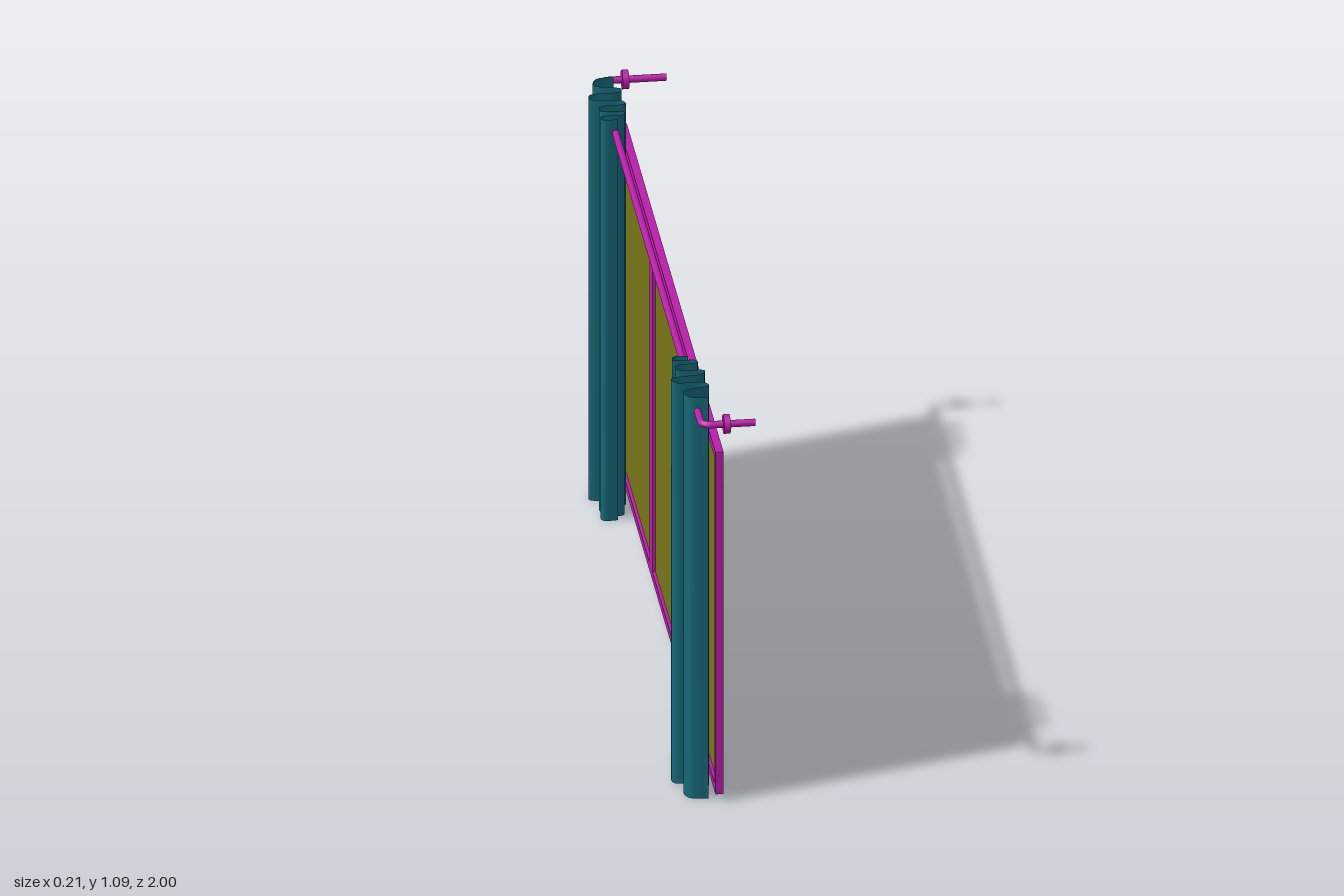
import * as THREE from 'three';

const frameMat = new THREE.MeshStandardMaterial({ color: 0xb820a8 });
const paneMat = new THREE.MeshStandardMaterial({ color: 0x777718 });
const clothMat = new THREE.MeshStandardMaterial({ color: 0x176878, side: THREE.DoubleSide });

const MID = -0.01; // window centre along z

function box(name, mat, [x0, x1], [y0, y1], [z0, z1]) {
  const mesh = new THREE.Mesh(new THREE.BoxGeometry(x1 - x0, y1 - y0, z1 - z0), mat);
  mesh.position.set((x0 + x1) / 2, (y0 + y1) / 2, (z0 + z1) / 2);
  mesh.name = name;
  return mesh;
}

// Window frame with two mullions and three recessed panes
function createWindow() {
  const g = new THREE.Group();
  g.name = 'window';
  const depth = [-0.015, 0.005], bottom = 0.02, top = 0.95, half = 0.93, edge = 0.022;
  const zMin = MID - half, zMax = MID + half;
  g.add(box('bottomRail', frameMat, depth, [bottom, bottom + edge], [zMin, zMax]));
  g.add(box('topRail', frameMat, depth, [top - edge, top], [zMin, zMax]));
  const inner = [bottom + edge, top - edge];
  g.add(box('stile', frameMat, depth, inner, [zMin, zMin + edge]));
  g.add(box('stile', frameMat, depth, inner, [zMax - edge, zMax]));
  for (const z of [-0.31, 0.31]) {
    g.add(box('mullion', frameMat, depth, inner, [MID + z - 0.025, MID + z + 0.025]));
  }
  const spans = [[zMin + edge, MID - 0.335], [MID - 0.285, MID + 0.285], [MID + 0.335, zMax - edge]];
  for (const span of spans) g.add(box('pane', paneMat, [-0.007, -0.003], inner, span));
  return g;
}

// Open pleated sheet: a folded line in plan, drawn straight up
function createCurtain(side) {
  // [x, distance from window centre], outer edge to inner edge
  const plan = [
    [-0.03, 0.91], [-0.075, 0.9], [-0.085, 0.865], [-0.02, 0.84], [-0.03, 0.822],
    [-0.1, 0.815], [-0.105, 0.79], [-0.03, 0.775], [-0.02, 0.755], [-0.085, 0.745],
    [-0.085, 0.72], [-0.03, 0.71], [-0.035, 0.695], [-0.09, 0.69], [-0.085, 0.67], [-0.05, 0.67],
  ];
  const line = new THREE.CatmullRomCurve3(
    plan.map(([x, d]) => new THREE.Vector3(x, 0, MID + side * d)), false, 'centripetal');
  const geo = new THREE.PlaneGeometry(1, 1, 96, 1);
  const pos = geo.attributes.position, p = new THREE.Vector3();
  for (let i = 0; i < pos.count; i++) {
    line.getPoint(pos.getX(i) + 0.5, p);
    pos.setXYZ(i, p.x, pos.getY(i) > 0 ? 1.09 : 0, p.z);
  }
  geo.computeVertexNormals();
  const mesh = new THREE.Mesh(geo, clothMat);
  mesh.name = side > 0 ? 'leftCurtain' : 'rightCurtain';
  return mesh;
}

// Rod with both ends bent forward, each passing through a round collar
function createRod() {
  const g = new THREE.Group();
  g.name = 'curtainRod';
  const y = 1.053, x = -0.056, z = 0.976, r = 0.025;
  const v = (a, c) => new THREE.Vector3(a, y, c);
  const path = new THREE.CurvePath();
  path.add(new THREE.LineCurve3(v(0.107, -z), v(x + r, -z)));
  path.add(new THREE.QuadraticBezierCurve3(v(x + r, -z), v(x, -z), v(x, -z + r)));
  path.add(new THREE.LineCurve3(v(x, -z + r), v(x, z - r)));
  path.add(new THREE.QuadraticBezierCurve3(v(x, z - r), v(x, z), v(x + r, z)));
  path.add(new THREE.LineCurve3(v(x + r, z), v(0.076, z)));
  const rod = new THREE.Mesh(new THREE.TubeGeometry(path, 400, 0.009, 12), frameMat);
  rod.name = 'rod';
  g.add(rod);
  for (const [end, cz] of [[0.107, -z], [0.076, z]]) {
    const cap = new THREE.Mesh(new THREE.CircleGeometry(0.009, 12), frameMat);
    cap.rotation.y = Math.PI / 2;
    cap.position.set(end, y, cz);
    cap.name = 'rodEnd';
    const collar = new THREE.Mesh(new THREE.CylinderGeometry(0.024, 0.024, 0.016, 24), frameMat);
    collar.rotation.z = Math.PI / 2;
    collar.position.set(0.005, y, cz);
    collar.name = 'collar';
    g.add(cap, collar);
  }
  return g;
}

export function createModel() {
  const model = new THREE.Group();
  model.name = 'curtainedWindow';
  model.add(createWindow(), createRod(), createCurtain(1), createCurtain(-1));
  return model;
}
